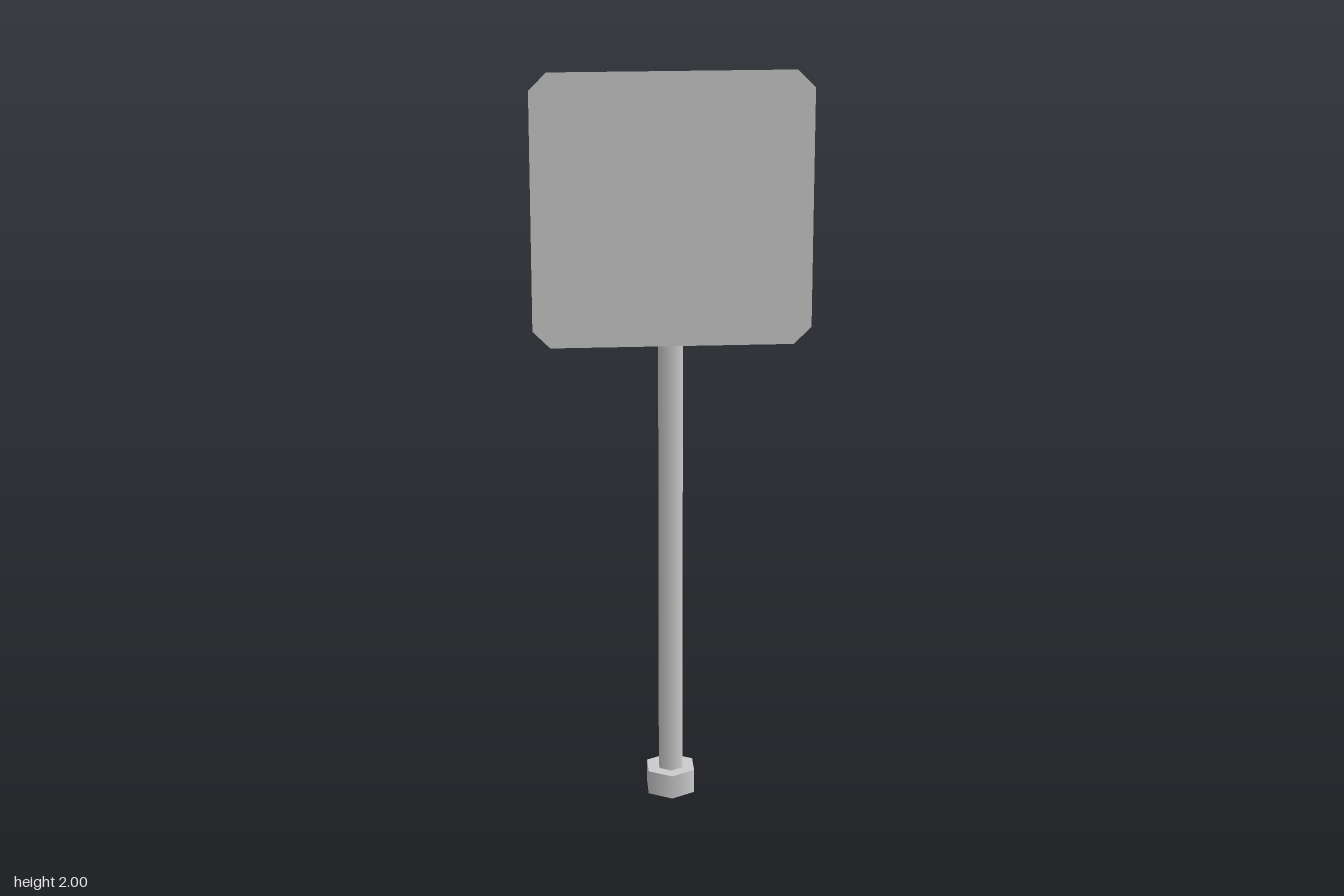
import * as THREE from 'three';

const solid = new THREE.MeshStandardMaterial({ color: 0xcccccc });
const sheet = new THREE.MeshStandardMaterial({ color: 0xcccccc, side: THREE.DoubleSide });

function addMesh(parent, name, geometry, material, x = 0, y = 0, z = 0) {
  const mesh = new THREE.Mesh(geometry, material);
  mesh.name = name;
  mesh.position.set(x, y, z);
  parent.add(mesh);
  return mesh;
}

// Smooth surface joining two equally long rows of points
function strip(rowA, rowB, closed) {
  const n = rowA.length, index = [];
  for (let i = 0; i < (closed ? n : n - 1); i++) {
    const j = (i + 1) % n;
    index.push(i, n + i, j, j, n + i, n + j);
  }
  const geometry = new THREE.BufferGeometry().setFromPoints([...rowA, ...rowB]);
  geometry.setIndex(index);
  geometry.computeVertexNormals();
  return geometry;
}

// Square with cut corners, counter-clockwise seen from the front
function outline(w, h, cut) {
  return [
    [w, -h + cut], [w, h - cut], [w - cut, h], [-w + cut, h],
    [-w, h - cut], [-w, -h + cut], [-w + cut, -h], [w - cut, -h],
  ].map(([x, y]) => new THREE.Vector2(x, y));
}

export function createModel() {
  const model = new THREE.Group();
  model.name = 'signPost';
  const poleZ = -0.003;

  // Hexagonal base and pole
  addMesh(model, 'base', new THREE.CylinderGeometry(0.072, 0.072, 0.067, 6), solid, 0, 0.0335, poleZ);
  addMesh(model, 'pole', new THREE.CylinderGeometry(0.036, 0.036, 1.93, 6), solid, 0, 0.965, poleZ);

  // Sign: flat face with a thin flange folded back and slightly inward
  const sign = new THREE.Group();
  sign.name = 'sign';
  sign.position.set(0, 1.645, 0);
  model.add(sign);
  const front = outline(0.358, 0.355, 0.045);
  const back = outline(0.35, 0.347, 0.043);
  addMesh(sign, 'signFace', new THREE.ShapeGeometry(new THREE.Shape(front)), sheet, 0, 0, 0.072);
  const ring = (points, z) => points.map((p) => new THREE.Vector3(p.x, p.y, z));
  addMesh(sign, 'signFlange', strip(ring(back, 0.035), ring(front, 0.072), true).scale(1, 1, 1), sheet);

  // Thin straps around the back of the pole, with feet on the sign
  const half = [[0.2, 0.07], [0.105, 0.069], [0.033, -0.022]];
  const path = [...half, [0, -0.041], ...half.map(([x, z]) => [-x, z]).reverse()];
  const row = (y) => path.map(([x, z]) => new THREE.Vector3(x, y, z));
  for (const [name, y] of [['lowerStrap', 1.485], ['upperStrap', 1.787]]) {
    addMesh(model, name, strip(row(0.036), row(-0.036), false), sheet, 0, y, 0);
  }
  return model;
}
